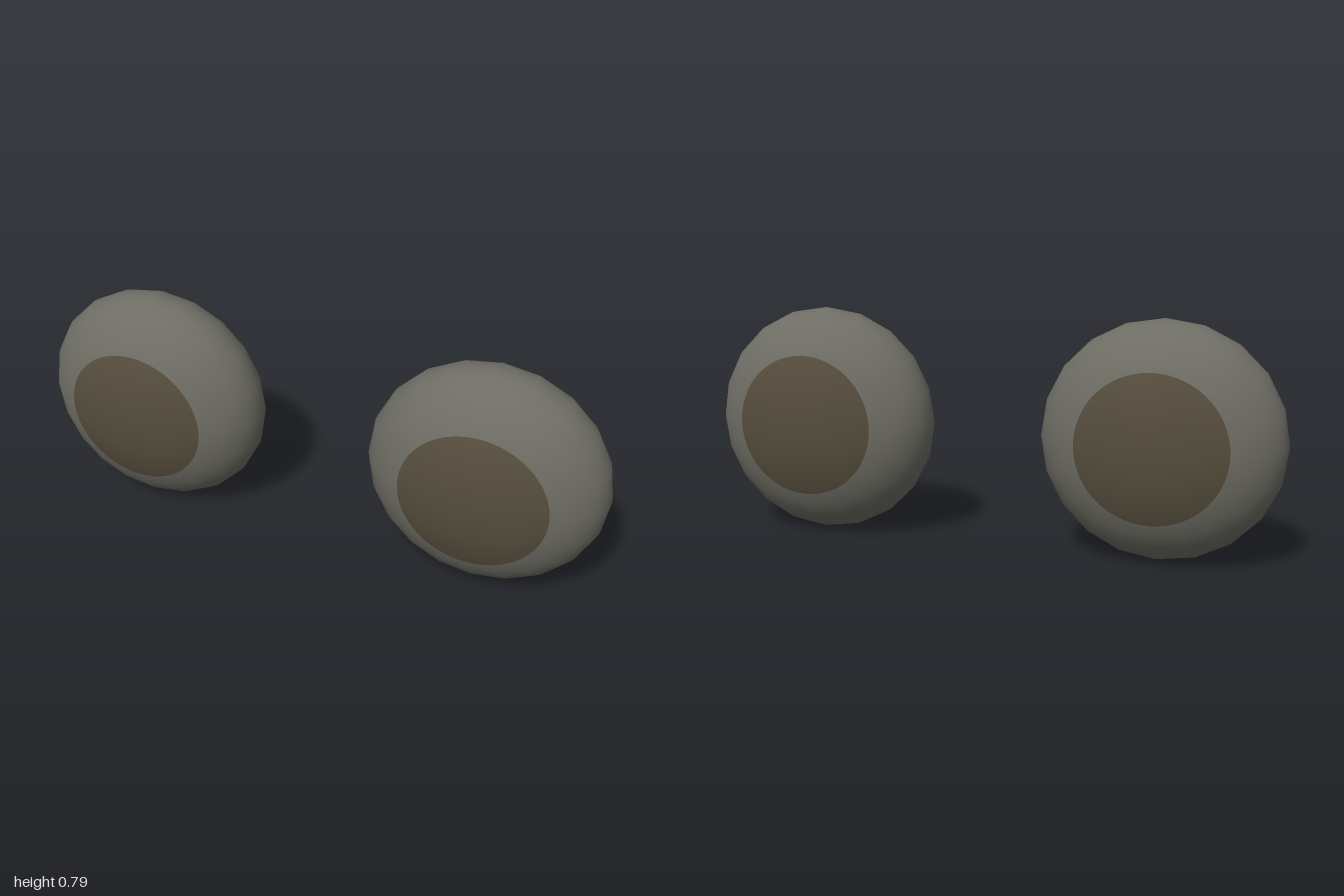
import * as THREE from 'three';

const RX = 0.4, RY = 0.391, RZ = 0.218;   // pod half sizes
const CAP = 0.655;                        // polar angle covered by each cap

const grey = new THREE.MeshStandardMaterial({ color: 0x6e6d64 });
grey.name = 'warm grey';
const brown = new THREE.MeshStandardMaterial({ color: 0x554d3d });
brown.name = 'dark brown';

// Flattened sphere with its poles on the z axis
function ellipsoid(sides, rings, start, length, grow = 1) {
  return new THREE.SphereGeometry(1, sides, rings, 0, Math.PI * 2, start, length)
    .rotateX(Math.PI / 2)
    .scale(RX * grow, RY * grow, RZ * grow);
}

// Narrow rounded strip wrapped around the underside
function patchGeometry() {
  const g = new THREE.PlaneGeometry(1, 1, 30, 8);
  const p = g.attributes.position;
  for (let i = 0; i < p.count; i++) {
    const u = p.getX(i) + 0.5, v = -2 * p.getY(i);
    const a = THREE.MathUtils.degToRad(-47 - 50 * u);
    const z = 0.043 * Math.sqrt(Math.max(0, 1 - Math.abs(2 * u - 1) ** 4)) * v;
    const s = 1.009 * Math.sqrt(1 - (z / RZ) ** 2);
    p.setXYZ(i, RX * s * Math.cos(a), RY * s * Math.sin(a), z);
  }
  g.computeVertexNormals();
  return g;
}

function add(parent, name, geometry, material) {
  const mesh = new THREE.Mesh(geometry, material);
  mesh.name = name;
  parent.add(mesh);
}

function createPod(name) {
  const pod = new THREE.Group();
  pod.name = name;
  add(pod, 'shell', ellipsoid(20, 32, 0, Math.PI), grey);
  add(pod, 'frontCap', ellipsoid(60, 12, 0, CAP, 1.006), brown);
  add(pod, 'backCap', ellipsoid(60, 12, Math.PI - CAP, CAP, 1.006), brown);
  add(pod, 'undersidePatch', patchGeometry(), brown);
  return pod;
}

export function createModel() {
  const model = new THREE.Group();
  model.name = 'podPair';
  for (const side of [-1, 1]) {
    const pod = createPod(side > 0 ? 'leftPod' : 'rightPod');
    pod.position.set(0.6 * side, 0.395, 0);
    model.add(pod);
  }
  // The pair is turned very slightly about the vertical
  model.rotation.y = -0.017;
  return model;
}
